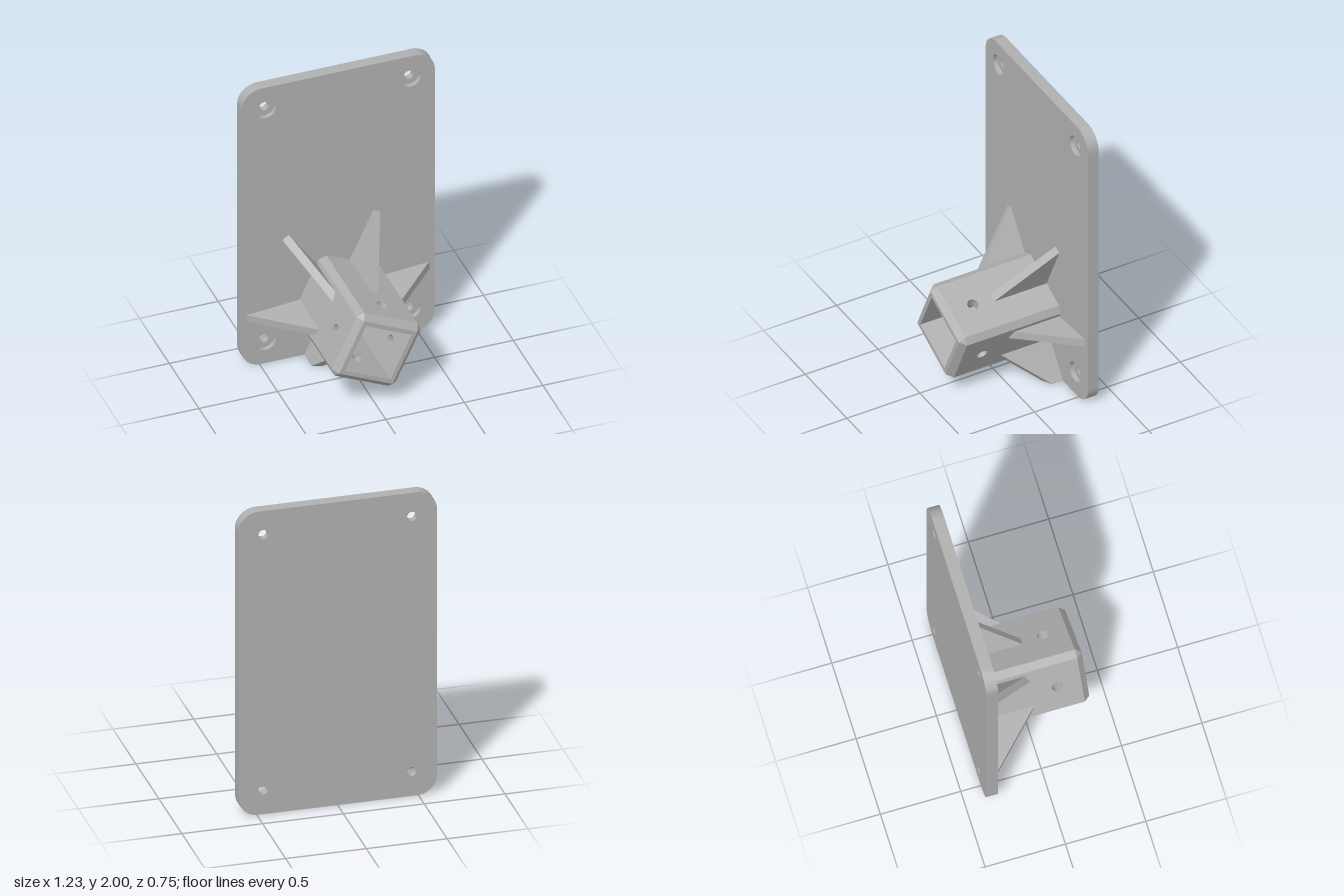
import * as THREE from 'three';
import { toCreasedNormals } from 'three/addons/utils/BufferGeometryUtils.js';

const BACK = -0.375, FACE = -0.302, FRONT = 0.375; // plate back, plate face, socket mouth
const CY = 0.403, TILT = -25 * Math.PI / 180;      // socket axis height and roll
const OUT = 0.225, IN = 0.16, CH = 0.0375;         // socket half sizes and chamfer
const REACH = 0.583, RIB = 0.05;                   // rib tip radius and thickness

const grey = new THREE.MeshStandardMaterial({ color: 0xb0b0b0 });
grey.name = 'grey';

function addMesh(parent, name, geometry) {
  const mesh = new THREE.Mesh(toCreasedNormals(geometry, 0.6), grey);
  mesh.name = name;
  parent.add(mesh);
  return mesh;
}

function polygon(points) {
  return new THREE.Shape(points.map(([x, y]) => new THREE.Vector2(x, y)));
}

function addHole(shape, x, y, r) {
  shape.holes.push(new THREE.Path().absarc(x, y, r, 0, Math.PI * 2, true));
}

// Move every vertex by a rule (x, y, z) => [x, y, z]
function reshape(geometry, rule) {
  const p = geometry.attributes.position;
  for (let i = 0; i < p.count; i++) p.setXYZ(i, ...rule(p.getX(i), p.getY(i), p.getZ(i)));
  return geometry;
}

// Rounded plate layer with four screw holes
function plateLayer(z0, z1, holeRadius) {
  const w = 0.615, h = 2, r = 0.125, s = new THREE.Shape();
  s.absarc(w - r, r, r, -Math.PI / 2, 0);
  s.absarc(w - r, h - r, r, 0, Math.PI / 2);
  s.absarc(-w + r, h - r, r, Math.PI / 2, Math.PI);
  s.absarc(-w + r, r, r, Math.PI, Math.PI * 1.5);
  for (const x of [-0.46, 0.46]) for (const y of [0.16, 1.845]) addHole(s, x, y, holeRadius);
  return new THREE.ExtrudeGeometry(s, { depth: z1 - z0, bevelEnabled: false, curveSegments: 16 })
    .translate(0, 0, z0);
}

// One socket wall: a drilled slab, with mitred inner edges and a bevelled mouth
function wallGeometry() {
  const a = OUT - CH;
  const s = polygon([[-a, FACE], [a, FACE], [a, FRONT], [-a, FRONT]]);
  addHole(s, 0, 0.19, 0.035);
  const g = new THREE.ExtrudeGeometry(s, { depth: 1, steps: 2, bevelEnabled: false, curveSegments: 16 });
  reshape(g, (u, v, t) => {
    const layer = Math.round(t * 2);
    const n = [IN, a, OUT][layer];
    if (Math.abs(u) > 0.1) {
      u = Math.sign(u) * (layer === 0 ? IN : a);
      if (v > 0 && layer === 2) v = FRONT - CH;
    }
    return [u, v, n];
  });
  return g.rotateX(Math.PI / 2);
}

// Chamfered corner filling the gap between two walls
function cornerGeometry() {
  const a = OUT - CH;
  const g = new THREE.ExtrudeGeometry(polygon([[a, a], [OUT, a], [a, OUT]]),
    { depth: FRONT - FACE, bevelEnabled: false }).translate(0, 0, FACE);
  return reshape(g, (x, y, z) => [x, y, z > 0 && x + y > 2 * a + 0.01 ? FRONT - CH : z]);
}

// Triangular gusset pointing along an angle, trimmed level with the plate's lower edge
function ribGeometry(angle) {
  const r0 = 0.22, slope = (r) => FACE + REACH - r;
  const c = Math.cos(angle), sn = Math.sin(angle);
  const limit = sn < -0.5 ? CY / -sn : REACH;
  const trimmed = limit < REACH;
  const points = [[r0, FACE], [limit, FACE]];
  if (trimmed) points.push([limit, slope(limit)]);
  points.push([r0, slope(r0)]);
  const g = new THREE.ExtrudeGeometry(polygon(points), { depth: RIB, bevelEnabled: false })
    .translate(0, 0, -RIB / 2);
  return reshape(g, (r, z, t) => {
    if (trimmed && r > limit - 0.001) {
      r = (CY - t * c) / -sn;
      if (z > FACE + 0.001) z = slope(r);
    }
    // t runs across the rib, opposite to the direction of turning
    return [r * c + t * sn, CY + r * sn - t * c, z];
  });
}

export function createModel() {
  const model = new THREE.Group();
  model.name = 'wallBracket';

  // Mounting plate: through holes behind, wider counterbores in front
  const plate = new THREE.Group();
  plate.name = 'plate';
  const step = FACE - 0.03;
  addMesh(plate, 'plateBack', plateLayer(BACK, step, 0.03));
  addMesh(plate, 'plateFront', plateLayer(step, FACE, 0.066));
  model.add(plate);

  // Square socket
  const socket = new THREE.Group();
  socket.name = 'socket';
  socket.position.y = CY;
  socket.rotation.z = TILT;
  for (let i = 0; i < 4; i++) {
    addMesh(socket, 'socketWall', wallGeometry()).rotation.z = i * Math.PI / 2;
    addMesh(socket, 'socketCorner', cornerGeometry()).rotation.z = i * Math.PI / 2;
  }
  model.add(socket);

  // Six ribs around the socket
  for (let i = 0; i < 6; i++) {
    addMesh(model, 'rib', ribGeometry((5 + i * 60) * Math.PI / 180));
  }
  return model;
}
